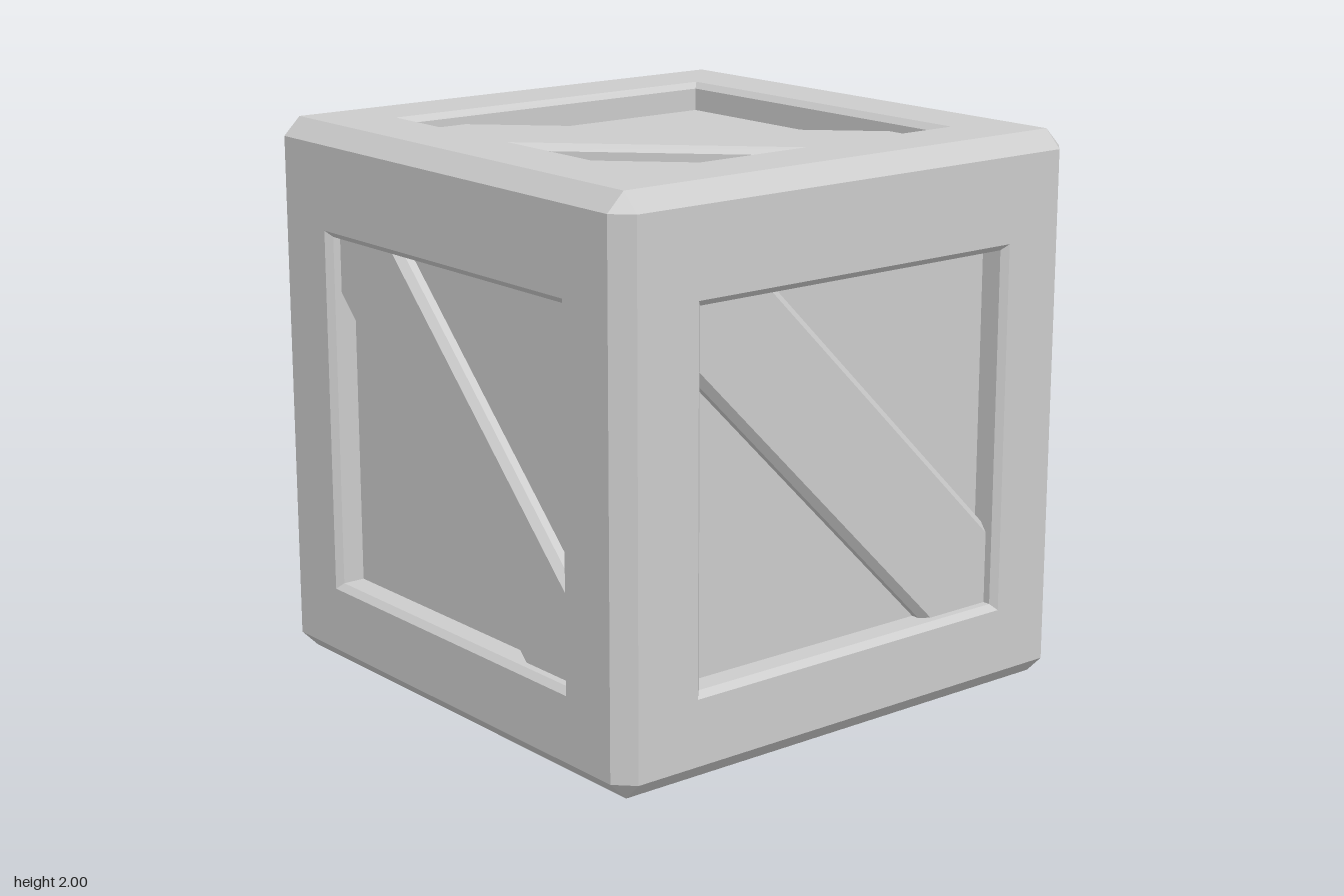
import * as THREE from 'three';

const material = new THREE.MeshStandardMaterial({ color: 0xcccccc, flatShading: true });
const BEVEL = 0.065;      // chamfer along the crate edges
const FLAT = 1 - BEVEL;   // half width of each flat face
const LIP = 0.022;        // small bevel round each opening
const FLOOR = 0.895;      // panel height above the crate centre
const HOLE = new THREE.Vector3(0.007, -0.035, 0.007); // slight offset of the openings

function mesh(geometry, name) {
  const m = new THREE.Mesh(geometry, material);
  m.name = name;
  return m;
}

function flatGeometry(positions) {
  const g = new THREE.BufferGeometry();
  g.setAttribute('position', new THREE.Float32BufferAttribute(positions, 3));
  g.computeVertexNormals();
  return g;
}

// Joins counter-clockwise rings of equal length, and optionally caps the last one
function loft(rings, cap) {
  const p = [];
  for (let r = 0; r < rings.length - 1; r++) {
    const a = rings[r], b = rings[r + 1], n = a.length;
    for (let i = 0; i < n; i++) {
      const j = (i + 1) % n;
      p.push(...a[i], ...a[j], ...b[j], ...a[i], ...b[j], ...b[i]);
    }
  }
  if (cap) {
    const t = rings[rings.length - 1];
    for (let i = 1; i < t.length - 1; i++) p.push(...t[0], ...t[i], ...t[i + 1]);
  }
  return flatGeometry(p);
}

const rect = (cu, cv, hu, hv, n) => [
  [cu - hu, cv - hv, n], [cu + hu, cv - hv, n], [cu + hu, cv + hv, n], [cu - hu, cv + hv, n],
];

// One crate side, built facing +z
function makeSide(cu, cv, hu, hv) {
  const side = new THREE.Group();
  const iu = hu - LIP, iv = hv - LIP;
  const opening = rect(cu, cv, hu, hv, 1);
  const lip = rect(cu, cv, iu, iv, 1 - LIP);
  const floor = rect(cu, cv, iu, iv, FLOOR);

  side.add(mesh(loft([rect(0, 0, FLAT, FLAT, 1), opening]), 'frame'));
  side.add(mesh(loft([opening, lip, floor]), 'openingWalls'));
  side.add(mesh(loft([floor], true), 'panel'));

  // Diagonal plank clipped to the opening, with bevelled long edges
  const L = cu - iu, R = cu + iu, B = cv - iv, T = cv + iv;
  const band = (w, n) => [
    [L, -w - L, n], [-w - B, B, n], [R, B, n], [R, w - R, n], [w - T, T, n], [L, T, n],
  ];
  side.add(mesh(loft([band(0.298, FLOOR), band(0.298, 0.925), band(0.262, 0.95)], true), 'diagonalPlank'));
  return side;
}

export function createModel() {
  const model = new THREE.Group();
  model.name = 'crate';
  const crate = new THREE.Group();
  crate.name = 'crateBody';
  crate.position.y = 1;
  model.add(crate);

  // Six sides
  const q = Math.PI / 2;
  const sides = [
    ['front', 0, 0], ['leftSide', 0, q], ['back', 0, 2 * q], ['rightSide', 0, -q],
    ['top', -q, 0], ['bottom', q, 0],
  ];
  for (const [name, rx, ry] of sides) {
    const turn = new THREE.Euler(rx, ry, 0);
    const c = HOLE.clone();
    if (rx) c.y = 0;
    c.applyQuaternion(new THREE.Quaternion().setFromEuler(turn).invert());
    const side = makeSide(c.x, c.y, 0.695, rx ? 0.695 : 0.665);
    side.rotation.copy(turn);
    side.name = name;
    crate.add(side);
  }

  // Twelve edge chamfers: four round each axis
  const strip = new THREE.PlaneGeometry(2 * FLAT, BEVEL * Math.SQRT2);
  strip.rotateX(-Math.PI / 4).translate(0, 1 - BEVEL / 2, 1 - BEVEL / 2);
  for (let axis = 0; axis < 3; axis++) {
    for (let i = 0; i < 4; i++) {
      const g = strip.clone().rotateX(i * q);
      if (axis === 1) g.rotateZ(q);
      if (axis === 2) g.rotateY(q);
      crate.add(mesh(g, 'edgeChamfer'));
    }
  }

  // Eight corner triangles
  for (const x of [-1, 1]) for (const y of [-1, 1]) for (const z of [-1, 1]) {
    const a = [x, y * FLAT, z * FLAT], b = [x * FLAT, y, z * FLAT], c = [x * FLAT, y * FLAT, z];
    const order = x * y * z > 0 ? [a, b, c] : [a, c, b];
    crate.add(mesh(flatGeometry(order.flat()), 'cornerChamfer'));
  }
  return model;
}
